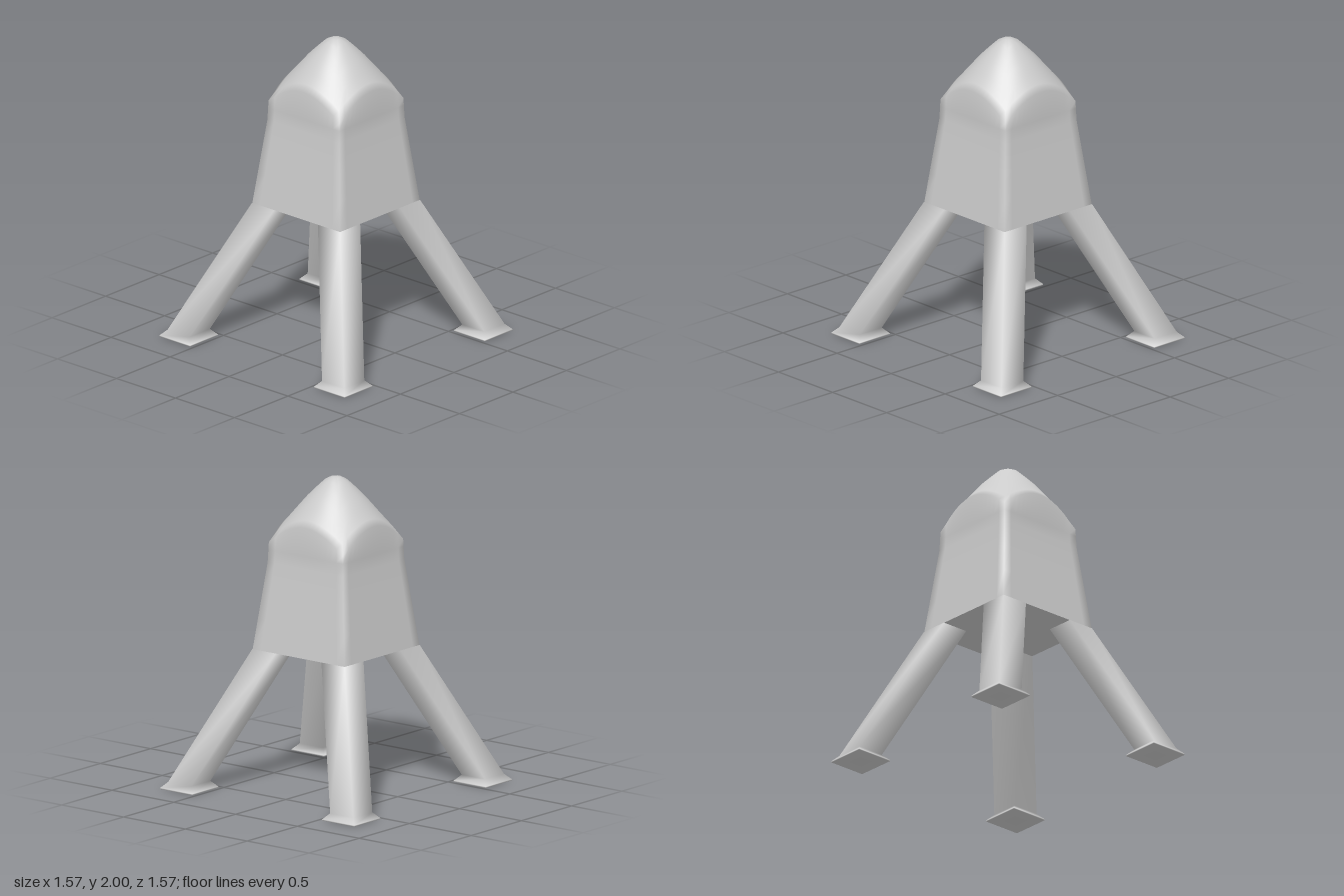
import * as THREE from 'three';

const material = new THREE.MeshStandardMaterial({ color: 0xcccccc });

// Skin a stack of rings (bottom to top) with shared vertices for smooth shading.
// Optional centre points close the bottom and the top.
function loft(rings, bottom, top) {
  const n = rings[0].length;
  const points = rings.flat();
  const index = [];
  for (let i = 0; i < rings.length - 1; i++) {
    for (let j = 0; j < n; j++) {
      const a = i * n + j, b = i * n + (j + 1) % n;
      index.push(a, b, b + n, a, b + n, a + n);
    }
  }
  const last = (rings.length - 1) * n;
  if (bottom) {
    const c = points.push(bottom) - 1;
    for (let j = 0; j < n; j++) index.push(c, (j + 1) % n, j);
  }
  if (top) {
    const c = points.push(top) - 1;
    for (let j = 0; j < n; j++) index.push(last + j, last + (j + 1) % n, c);
  }
  const geometry = new THREE.BufferGeometry();
  geometry.setAttribute('position', new THREE.Float32BufferAttribute(points.flat(), 3));
  geometry.setIndex(index);
  geometry.computeVertexNormals();
  return geometry;
}

function addMesh(parent, name, geometry) {
  const mesh = new THREE.Mesh(geometry, material);
  mesh.name = name;
  parent.add(mesh);
  return mesh;
}

// Piecewise linear lookup in a list of [input, output] pairs
function lookup(pairs, v) {
  for (let i = 1; i < pairs.length; i++) {
    const [a, fa] = pairs[i - 1], [b, fb] = pairs[i];
    if (v <= b) return fa + (fb - fa) * (v - a) / (b - a);
  }
  return pairs[pairs.length - 1][1];
}

const BASE = 0.89;
// Half width of the square walls by height
const wall = [[BASE, 0.372], [1.45, 0.305], [1.6, 0.299], [1.72, 0.312]];
// Height of the round roof by distance from the axis
const roof = [[0, 2], [0.03, 1.995], [0.07, 1.975], [0.17, 1.88], [0.31, 1.715], [0.36, 1.66], [0.43, 1.58]];

// Square hood whose walls run up into a conical roof, leaving arched eaves
function hoodGeometry() {
  const sides = 64;
  const ring = (fn) => Array.from({ length: sides }, (_, j) => {
    const a = (j / sides) * Math.PI * 2;
    const s = Math.sin(a), c = Math.cos(a);
    const stretch = 1 / Math.max(Math.abs(s), Math.abs(c));
    const [r, y] = fn(stretch);
    return [s * r, y, c * r];
  });
  const eave = (stretch) => {
    const y = lookup(roof, 0.307 * stretch);
    return [lookup(wall, y) * stretch, y];
  };
  const rings = [BASE, 1.08, 1.27, 1.45, 1.53].map((y) =>
    ring((stretch) => [lookup(wall, y) * stretch, y]));
  rings.push(ring(eave));
  for (const k of [0.88, 0.72, 0.55, 0.38, 0.22, 0.1]) {
    rings.push(ring((stretch) => {
      const r = eave(stretch)[0] * k;
      return [r, lookup(roof, r)];
    }));
  }
  return loft(rings, null, [0, 2, 0]);
}

// Slanted square leg, flaring into a flat foot
function legGeometry() {
  const square = (c, h, y) => [
    [c - h, y, c + h], [c + h, y, c + h], [c + h, y, c - h], [c - h, y, c - h],
  ];
  return loft([
    square(0.655, 0.13, 0),
    square(0.655, 0.13, 0.008),
    square(0.655, 0.094, 0.045),
    square(0.28, 0.094, BASE),
  ], [0.655, 0, 0.655], [0.28, BASE, 0.28]);
}

export function createModel() {
  const model = new THREE.Group();
  model.name = 'hoodOnLegs';

  addMesh(model, 'hood', hoodGeometry());

  // Flat underside of the hood
  const floor = addMesh(model, 'underside', new THREE.PlaneGeometry(0.744, 0.744));
  floor.rotation.x = Math.PI / 2;
  floor.position.y = BASE;

  // Four legs, one at each corner
  const leg = legGeometry();
  ['frontLeftLeg', 'backLeftLeg', 'backRightLeg', 'frontRightLeg'].forEach((name, i) => {
    addMesh(model, name, leg).rotation.y = i * Math.PI / 2;
  });

  return model;
}
